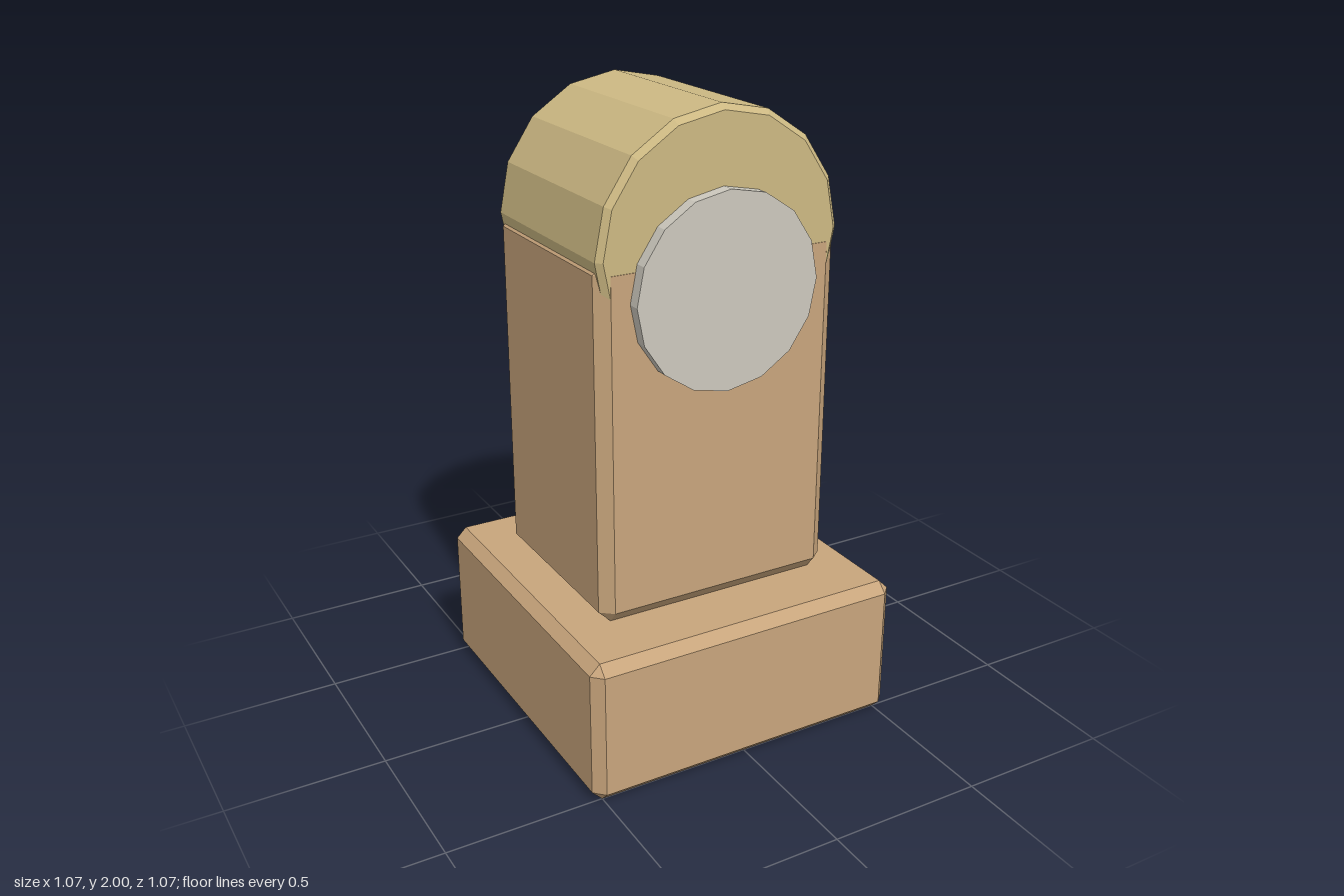
import * as THREE from 'three';
import { ConvexGeometry } from 'three/addons/geometries/ConvexGeometry.js';

const wood = new THREE.MeshStandardMaterial({ color: 0xc8a57c });
wood.name = 'wood';
const brass = new THREE.MeshStandardMaterial({ color: 0xcdb983 });
brass.name = 'brass';
const silver = new THREE.MeshStandardMaterial({ color: 0xccc8bd });
silver.name = 'silver';

// Box with half sizes h and every edge chamfered by c (per axis)
function chamferBox(h, c) {
  const points = [];
  for (const sx of [-1, 1]) for (const sy of [-1, 1]) for (const sz of [-1, 1]) {
    for (let axis = 0; axis < 3; axis++) {
      const p = [sx, sy, sz].map((s, i) => s * (i === axis ? h[i] : h[i] - c[i]));
      points.push(new THREE.Vector3(...p));
    }
  }
  return new ConvexGeometry(points);
}

// Sixteen-sided faceted solid turned around the z axis from [radius, z] pairs
function turned(profile) {
  const points = profile.map(([r, z]) => new THREE.Vector2(r, z));
  const geometry = new THREE.LatheGeometry(points, 16).rotateX(Math.PI / 2).toNonIndexed();
  geometry.computeVertexNormals();
  return geometry;
}

export function createModel() {
  const group = new THREE.Group();
  group.name = 'post';
  const add = (name, geometry, material, y) => {
    const mesh = new THREE.Mesh(geometry, material);
    mesh.name = name;
    mesh.position.y = y;
    group.add(mesh);
  };

  // Square plinth and the column standing on it
  add('base', chamferBox([0.533, 0.2335, 0.533], [0.033, 0.033, 0.033]), wood, 0.2335);
  add('column', chamferBox([0.4, 0.5665, 0.333], [0.04, 0.04, 0.033]), wood, 1.0335);

  // Rounded top, flush with the column faces (tiny offsets avoid flicker)
  add('roundedTop', turned([
    [0, -0.3335], [0.382, -0.3335], [0.4, -0.315],
    [0.4, 0.315], [0.382, 0.3325], [0, 0.3325],
  ]), brass, 1.6);

  // Round plate on the front
  add('frontDisc', turned([[0, 0.293], [0.3, 0.293], [0.3, 0.373], [0, 0.373]]), silver, 1.47);

  return group;
}
